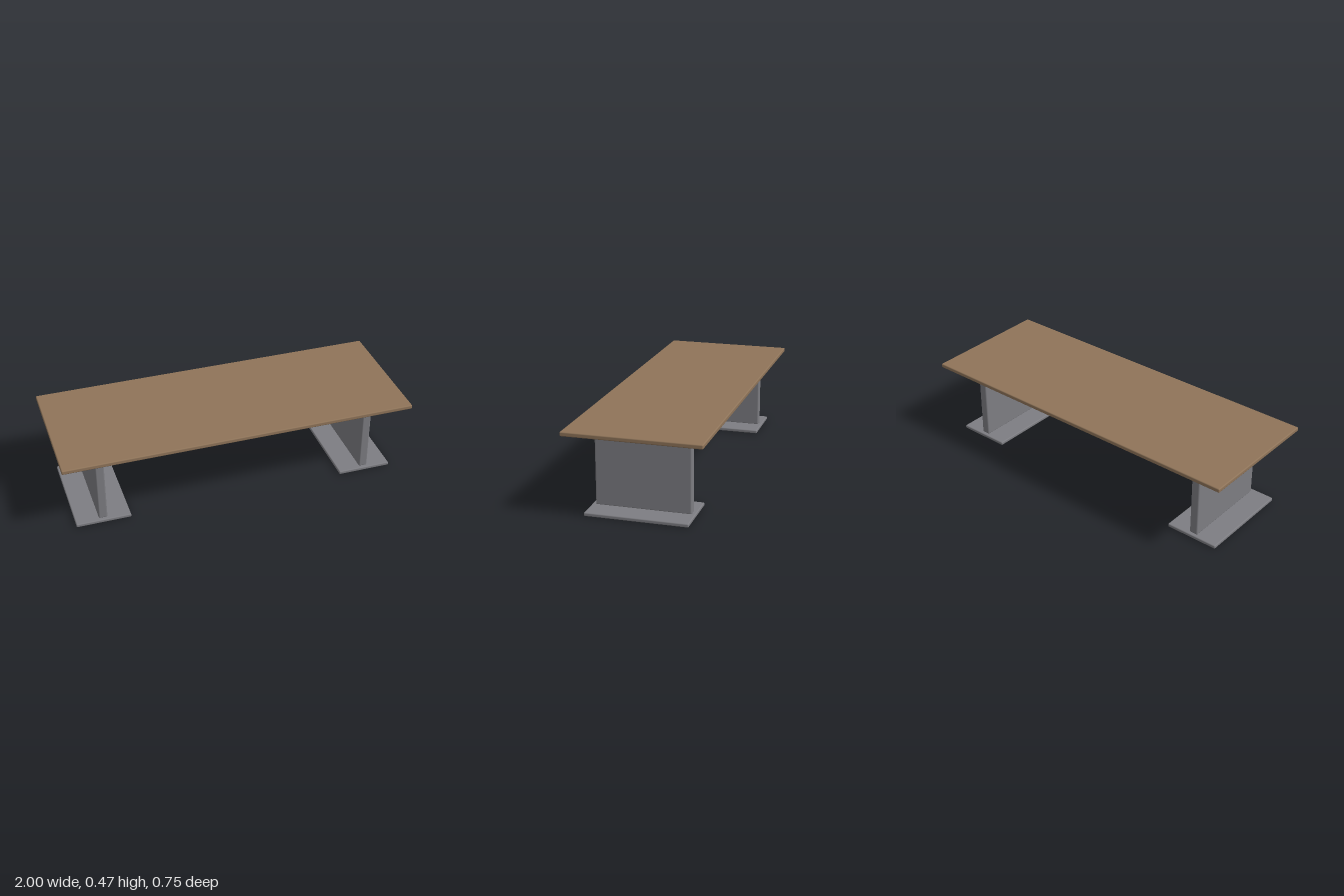
import * as THREE from 'three';
import { RoundedBoxGeometry } from 'three/addons/geometries/RoundedBoxGeometry.js';

export function createModel() {
  const table = new THREE.Group();
  table.name = 'table';

  const wood = new THREE.MeshStandardMaterial({ color: 0x8f7459 });
  wood.name = 'brown wood';
  const metal = new THREE.MeshStandardMaterial({ color: 0x7d7d82 });
  metal.name = 'grey metal';

  // Softly rounded block, placed by the height of its underside
  function block(name, material, [w, h, d], radius, x, bottom, parent = table) {
    const mesh = new THREE.Mesh(new RoundedBoxGeometry(w, h, d, 3, radius), material);
    mesh.name = name;
    mesh.position.set(x, bottom + h / 2, 0);
    parent.add(mesh);
  }

  block('tabletop', wood, [2, 0.024, 0.746], 0.006, 0, 0.446);

  // Panel leg on a flat foot plate at each end
  for (const [side, s] of [['left', 1], ['right', -1]]) {
    const support = new THREE.Group();
    support.name = side + 'Support';
    block(side + 'Leg', metal, [0.05, 0.43, 0.522], 0.008, s * 0.78, 0.016, support);
    block(side + 'Foot', metal, [0.31, 0.02, 0.562], 0.006, s * 0.78, 0, support);
    table.add(support);
  }

  // Beam joining the two legs under the top
  const beam = new THREE.Mesh(new THREE.BoxGeometry(1.52, 0.05, 0.05), metal);
  beam.name = 'crossBeam';
  beam.position.y = 0.396;
  table.add(beam);

  return table;
}
